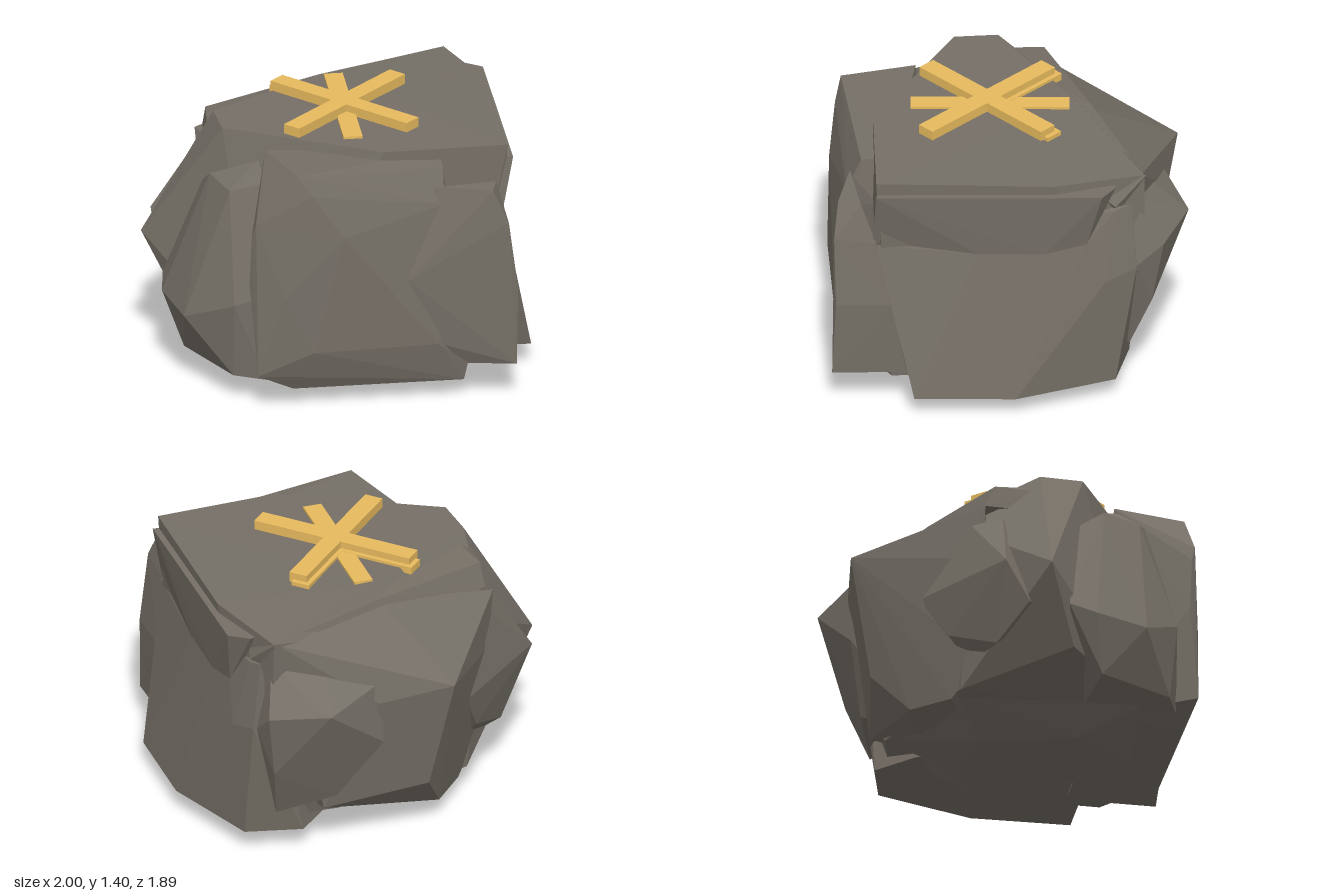
import * as THREE from 'three';
import { ConvexGeometry } from 'three/addons/geometries/ConvexGeometry.js';

const stone = new THREE.MeshStandardMaterial({ color: 0x756f66 });
stone.name = 'stone';
const gold = new THREE.MeshStandardMaterial({ color: 0xe8bb5e });
gold.name = 'gold';

export function createModel() {
  const group = new THREE.Group();

  // Each chunk of rock is the faceted hull of a few corner points
  function chunk(name, corners) {
    const mesh = new THREE.Mesh(
      new ConvexGeometry(corners.map(c => new THREE.Vector3(...c))), stone);
    mesh.name = name;
    group.add(mesh);
  }

  // Core with the flat top and the pointed left side
  chunk('core', [
    [0.85, 1.35, 0.68], [0.2, 1.35, 0.7], [-0.6, 1.35, 0.28], [-0.62, 1.35, 0.05],
    [0, 1.35, -0.35], [0.69, 1.31, -0.72], [0.84, 1.33, -0.25],
    [-1, 0.69, 0.05], [-0.62, 1.0, -0.33], [-0.8, 0.3, 0.2], [-0.5, 0.15, -0.35],
    [-0.45, 0.13, 0.65], [0.6, 0.12, 0.72], [0.8, 0.14, 0.6],
    [0.76, 0.14, -0.5], [0.3, 0.2, -0.62], [0.7, 0.8, -0.72],
  ]);

  // Front slab with a flat shoulder, and the lower slab on the corner beside it
  chunk('frontSlab', [
    [-0.28, 1.31, 0.87], [-0.42, 1.13, 0.88], [-0.2, 1.2, 0.9], [0, 1.28, 0.84],
    [0.5, 1.28, 0.76], [-0.4, 1.3, 0.48], [0.5, 1.3, 0.6], [-0.52, 0.98, 0.87],
    [-0.5, 1.06, 0.89], [-0.04, 0.97, 0.93], [-0.35, 0.64, 0.93], [-0.53, 0.7, 0.86],
    [-0.49, 0.2, 0.91], [-0.2, 0.33, 0.94], [0.46, 0.33, 0.9], [0.5, 1.1, 0.84],
    [-0.3, 0.1, 0.86], [0.6, 0.1, 0.85], [0.62, 0.2, 0.86], [-0.4, 0.1, 0.4],
    [0.6, 0.1, 0.4],
  ]);
  chunk('cornerSlab', [
    [0.75, 1.18, 0.88], [0.46, 1.19, 0.82], [0.78, 1.18, 0.76], [0.83, 1.0, 0.9],
    [0.88, 0.62, 0.89], [0.88, 0.62, 0.6], [0.87, 0.2, 0.91], [0.86, 0.2, 0.52],
    [0.46, 0.33, 0.89], [0.3, 0.7, 0.9], [0.3, 0.9, 0.6], [0.83, 0.97, 0.68],
    [0.6, 0.2, 0.6], [0.62, 0.2, 0.87],
  ]);

  // Boulder on the front left corner
  chunk('cornerBoulder', [
    [-0.44, 1.25, 0.5], [-0.68, 1.14, 0.38], [-0.6, 1.12, 0.58], [-0.42, 1.18, 0.64],
    [-0.7, 1.05, 0.25], [-0.9, 0.5, 0.16], [-0.92, 0.45, 0.3], [-0.84, 0.42, 0.58],
    [-0.6, 0.55, 0.78], [-0.45, 0.6, 0.8], [-0.81, 0.15, 0.35], [-0.6, 0.14, 0.74],
    [-0.43, 0.13, 0.8], [-0.4, 0.13, 0.3],
  ]);

  // Right side: flared lower slab and an overhanging upper slab
  chunk('sideSlab', [
    [1, 0.12, -0.05], [1, 0.12, 0.48], [0.83, 0.96, 0.68], [0.85, 0.92, 0.15],
    [0.85, 0.92, -0.2], [0.83, 0.97, -0.42], [0.77, 1.14, -0.57], [0.74, 1.16, -0.65],
    [0.79, 0.8, -0.68], [0.85, 0.75, -0.52], [0.8, 0.12, -0.57], [0.5, 0.12, -0.64],
    [0.88, 0.55, 0.56], [0.3, 0.12, 0.48], [0.3, 0.12, -0.45], [0.4, 0.7, 0.4],
  ]);
  chunk('sideOverhang', [
    [0.88, 1.28, 0.68], [0.87, 1.28, 0.1], [0.87, 1.28, -0.5], [0.77, 1.28, -0.57],
    [0.82, 0.97, 0.7], [0.85, 0.92, 0.15], [0.85, 0.92, -0.2], [0.83, 0.97, -0.42],
    [0.4, 1.28, 0.6], [0.4, 1.28, -0.5], [0.4, 0.95, 0],
  ]);

  // Back: a large sloping block and a pointed boulder
  chunk('backBlock', [
    [-0.68, 1.13, -0.25], [0.66, 1.29, -0.7], [0, 1.29, -0.42], [-0.25, 0.98, -0.89],
    [0.15, 0.92, -0.84], [-0.62, 0.85, -0.35], [-0.15, 0.35, -0.77], [-0.27, 0.12, -0.58],
    [-0.44, 0.12, -0.39], [-0.6, 0.3, -0.25], [0.4, 0.25, -0.68], [0.05, 0.14, -0.5],
    [0.5, 0.15, 0],
  ]);
  chunk('backBoulder', [
    [0.45, 0.95, -0.95], [0.12, 1.03, -0.8], [0.68, 1.16, -0.65], [0.4, 1.14, -0.7],
    [0.75, 0.92, -0.82], [0.77, 0.8, -0.68], [0.7, 0.55, -0.76], [0.4, 0.6, -0.82],
    [0.35, 0.35, -0.74], [0.65, 0.25, -0.64], [0.12, 0.68, -0.83], [0.5, 0.4, -0.4],
  ]);
  chunk('topRightShard', [
    [0.69, 1.31, -0.73], [0.71, 1.32, -0.35], [0.77, 1.16, -0.57], [0.66, 1.14, -0.68],
    [0.6, 1, -0.5],
  ]);

  // Left side boulder behind the point, and the ledge below the top edge
  chunk('leftBoulder', [
    [-0.92, 0.72, -0.18], [-0.66, 1.02, -0.32], [-0.7, 1.06, -0.16], [-0.9, 0.5, -0.05],
    [-0.74, 0.32, -0.2], [-0.43, 0.68, -0.56], [-0.53, 0.44, -0.42], [-0.5, 0.3, -0.3],
    [-0.5, 0.6, 0.1],
  ]);
  chunk('backLedge', [
    [-0.63, 1.27, -0.19], [-0.52, 1.33, 0.12], [-0.65, 1.25, 0.05], [-0.65, 1.14, -0.08],
    [-0.64, 1.15, -0.24], [0, 1.31, -0.44], [0, 1.15, -0.5], [0.5, 1.31, -0.64],
  ]);

  // Narrow base, undercut towards the front right
  chunk('base', [
    [-0.33, 0, 0.3], [-0.06, 0, 0.62], [0.52, 0, -0.02], [0.25, 0, -0.25],
    [-0.2, 0, -0.2], [-0.52, 0.12, 0.6], [0.22, 0.1, 0.64], [0.53, 0.1, 0.3],
    [0.54, 0.12, -0.3], [0.2, 0.16, -0.55], [-0.4, 0.16, -0.35],
  ]);

  // Six-armed inlay lying on the top
  function bar(name, length, height, x, y, z, turn) {
    const mesh = new THREE.Mesh(new THREE.BoxGeometry(0.1, height, length), gold);
    mesh.name = name;
    mesh.position.set(x, y, z);
    mesh.rotation.y = turn;
    group.add(mesh);
  }
  bar('straightBar', 0.83, 0.05, 0.06, 1.338, 0.09, 0);
  for (const side of [-1, 1]) {
    bar('crossBar', 0.9, 0.055, 0.065, 1.375, 0.105, side * Math.PI / 4);
    bar('lowerCrossBar', 0.42, 0.04, 0.065 + side * 0.17, 1.345, -0.1, -side * Math.PI / 4);
  }
  return group;
}
